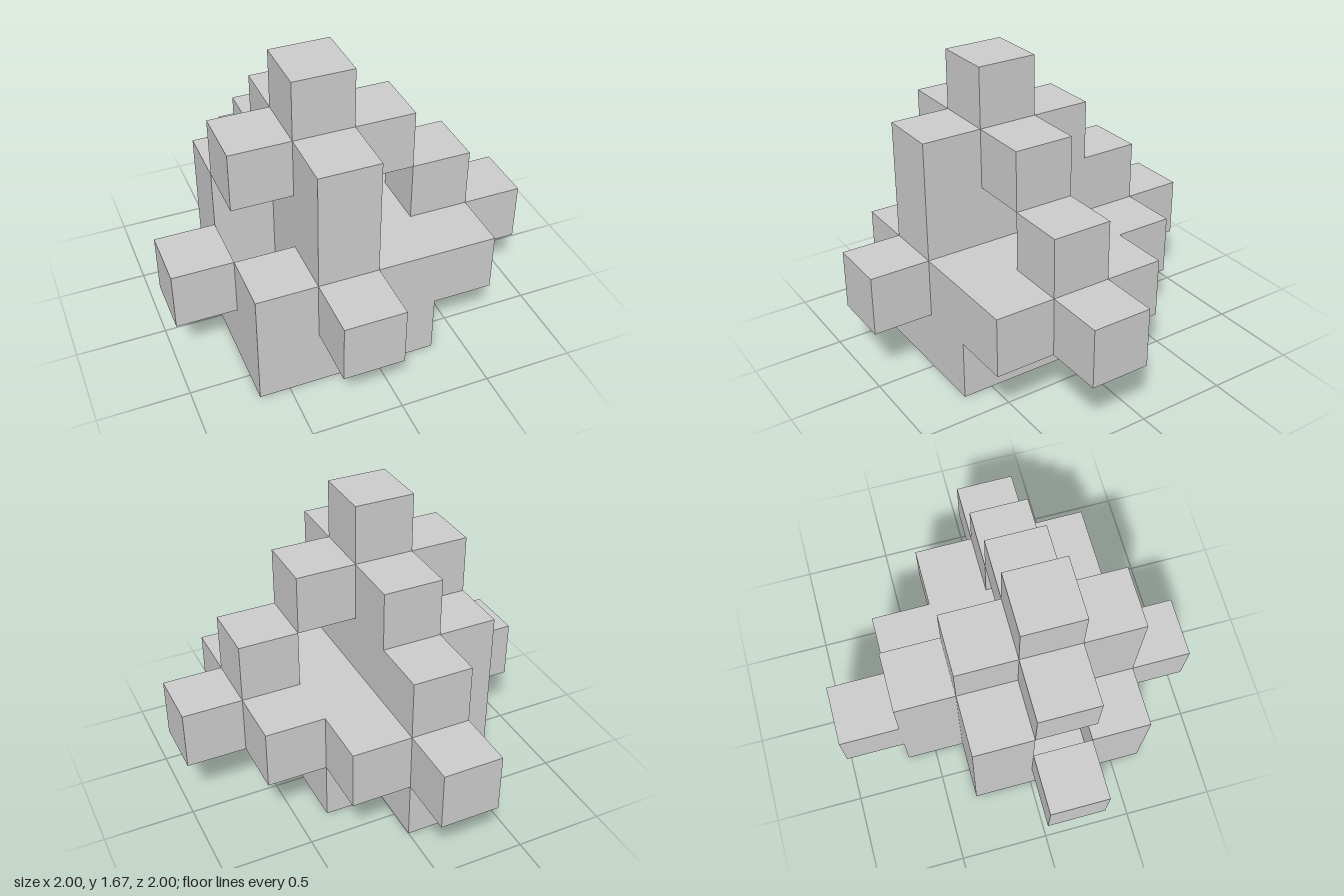
import * as THREE from 'three';
import { mergeGeometries } from 'three/addons/utils/BufferGeometryUtils.js';

const S = 1 / 3; // cube edge

// Layers from the ground up; rows run back to front, columns along +x.
const LAYERS = [
  { name: 'base', rows: ['......', '..#...', '.###..', '.###..', '.###..', '......'] },
  { name: 'wideTier', rows: ['..#...', '..##..', '.####.', '#.####', '.####.', '..#...'] },
  { name: 'middleTier', rows: ['......', '..#...', '.##...', '..#.#.', '..#...', '......'] },
  { name: 'upperTier', rows: ['......', '......', '..#...', '.###..', '..#...', '......'] },
  { name: 'topCube', rows: ['......', '......', '......', '..#...', '......', '......'] },
];

const filled = (i, j, k) => LAYERS[j]?.rows[k]?.[i] === '#';

// Six outward directions, each with the rotation that turns a +z square to it.
const SIDES = [
  { d: [0, 0, 1], r: [0, 0] },
  { d: [0, 0, -1], r: [0, Math.PI] },
  { d: [1, 0, 0], r: [0, Math.PI / 2] },
  { d: [-1, 0, 0], r: [0, -Math.PI / 2] },
  { d: [0, 1, 0], r: [-Math.PI / 2, 0] },
  { d: [0, -1, 0], r: [Math.PI / 2, 0] },
];

// Squares of one cube that are not covered by a neighbour
function exposedFaces(i, j, k) {
  return SIDES.filter(({ d }) => !filled(i + d[0], j + d[1], k + d[2])).map(({ d, r }) =>
    new THREE.PlaneGeometry(S, S)
      .rotateX(r[0])
      .rotateY(r[1])
      .translate(
        (i - 2.5 + d[0] / 2) * S,
        (j + 0.5 + d[1] / 2) * S,
        (k - 2.5 + d[2] / 2) * S
      )
  );
}

export function createModel() {
  const model = new THREE.Group();
  model.name = 'steppedCubeStack';
  const material = new THREE.MeshStandardMaterial({ color: 0xcccccc, flatShading: true });

  // One mesh per layer of cubes
  LAYERS.forEach(({ name, rows }, j) => {
    const faces = [];
    rows.forEach((row, k) => {
      for (let i = 0; i < row.length; i++) {
        if (filled(i, j, k)) faces.push(...exposedFaces(i, j, k));
      }
    });
    const mesh = new THREE.Mesh(mergeGeometries(faces), material);
    mesh.name = name;
    model.add(mesh);
  });

  return model;
}
